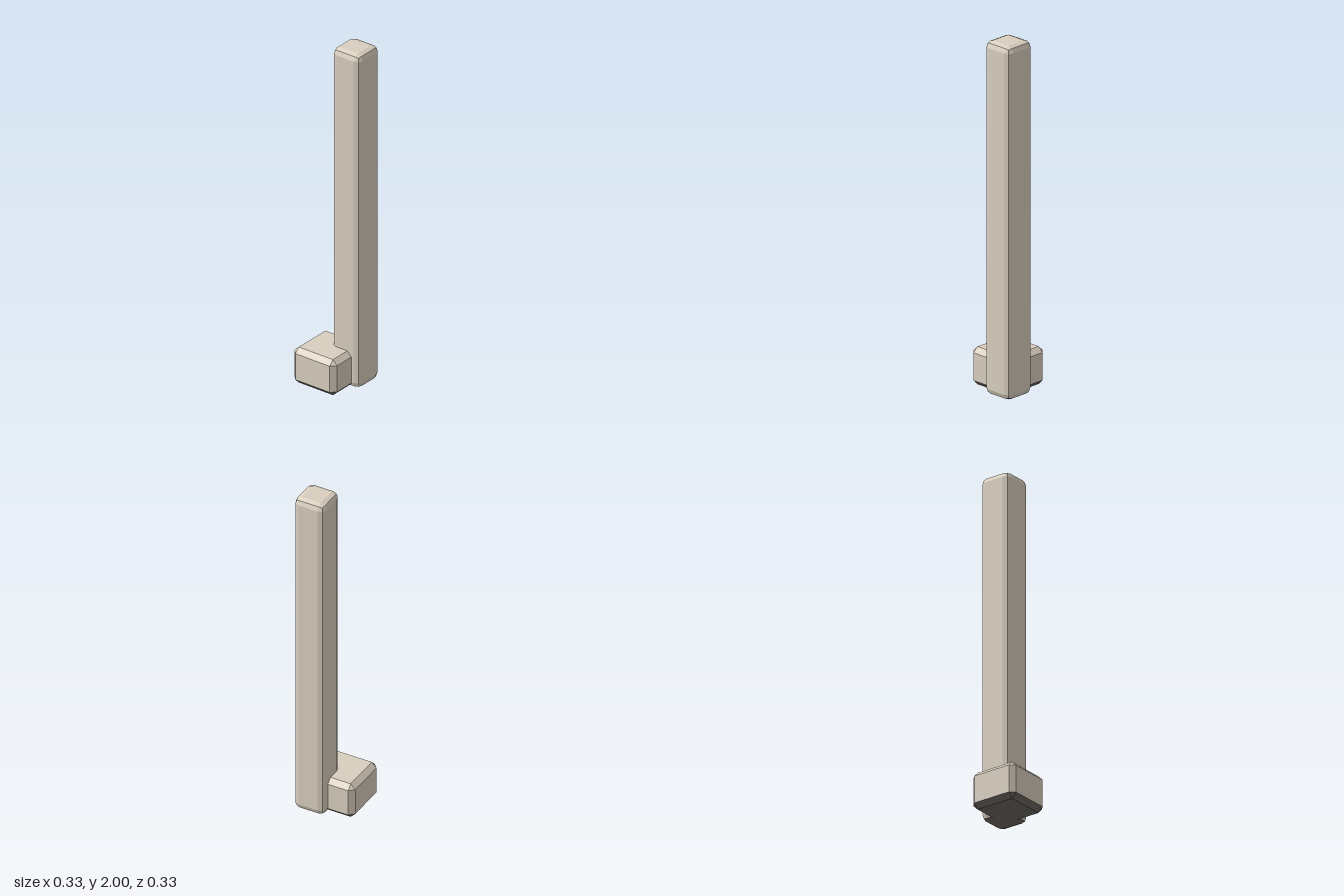
import * as THREE from 'three';
import { RoundedBoxGeometry } from 'three/addons/geometries/RoundedBoxGeometry.js';
import { ConvexGeometry } from 'three/addons/geometries/ConvexGeometry.js';

// Box with one flat chamfer on every edge and a triangle on every corner
function chamferedBox(w, h, d, c) {
  const points = [];
  for (const sx of [-1, 1]) for (const sy of [-1, 1]) for (const sz of [-1, 1]) {
    for (let axis = 0; axis < 3; axis++) {
      const inset = [c, c, c];
      inset[axis] = 0;
      points.push(new THREE.Vector3(
        sx * (w / 2 - inset[0]), sy * (h / 2 - inset[1]), sz * (d / 2 - inset[2])));
    }
  }
  return new ConvexGeometry(points);
}

// Give downward facets the second material of the mesh, all others the first
function splitUnderside(geometry) {
  const pos = geometry.attributes.position;
  const tri = new THREE.Triangle();
  const normal = new THREE.Vector3();
  geometry.clearGroups();
  for (let i = 0; i < pos.count; i += 3) {
    tri.setFromAttributeAndIndices(pos, i, i + 1, i + 2).getNormal(normal);
    geometry.addGroup(i, 3, normal.y < -0.5 ? 1 : 0);
  }
  return geometry;
}

function stoneMaterial(name, color) {
  const material = new THREE.MeshStandardMaterial({ color, flatShading: true });
  material.name = name;
  return material;
}

export function createModel() {
  const model = new THREE.Group();
  model.name = 'postWithFootBlock';
  const materials = [
    stoneMaterial('warm grey stone', 0xd9cfbf),
    stoneMaterial('dark underside', 0x6f6a64),
  ];

  // Tall post with two-facet bevels
  const post = new THREE.Mesh(splitUnderside(new RoundedBoxGeometry(0.184, 2, 0.184, 1, 0.035)), materials);
  post.name = 'post';
  post.position.set(0.075, 1, -0.076);

  // Low chamfered block wrapped around the foot of the post
  const block = new THREE.Mesh(splitUnderside(chamferedBox(0.285, 0.213, 0.285, 0.028)), materials);
  block.name = 'footBlock';
  block.position.set(-0.025, 0.1075, 0.0245);

  model.add(post, block);
  return model;
}
